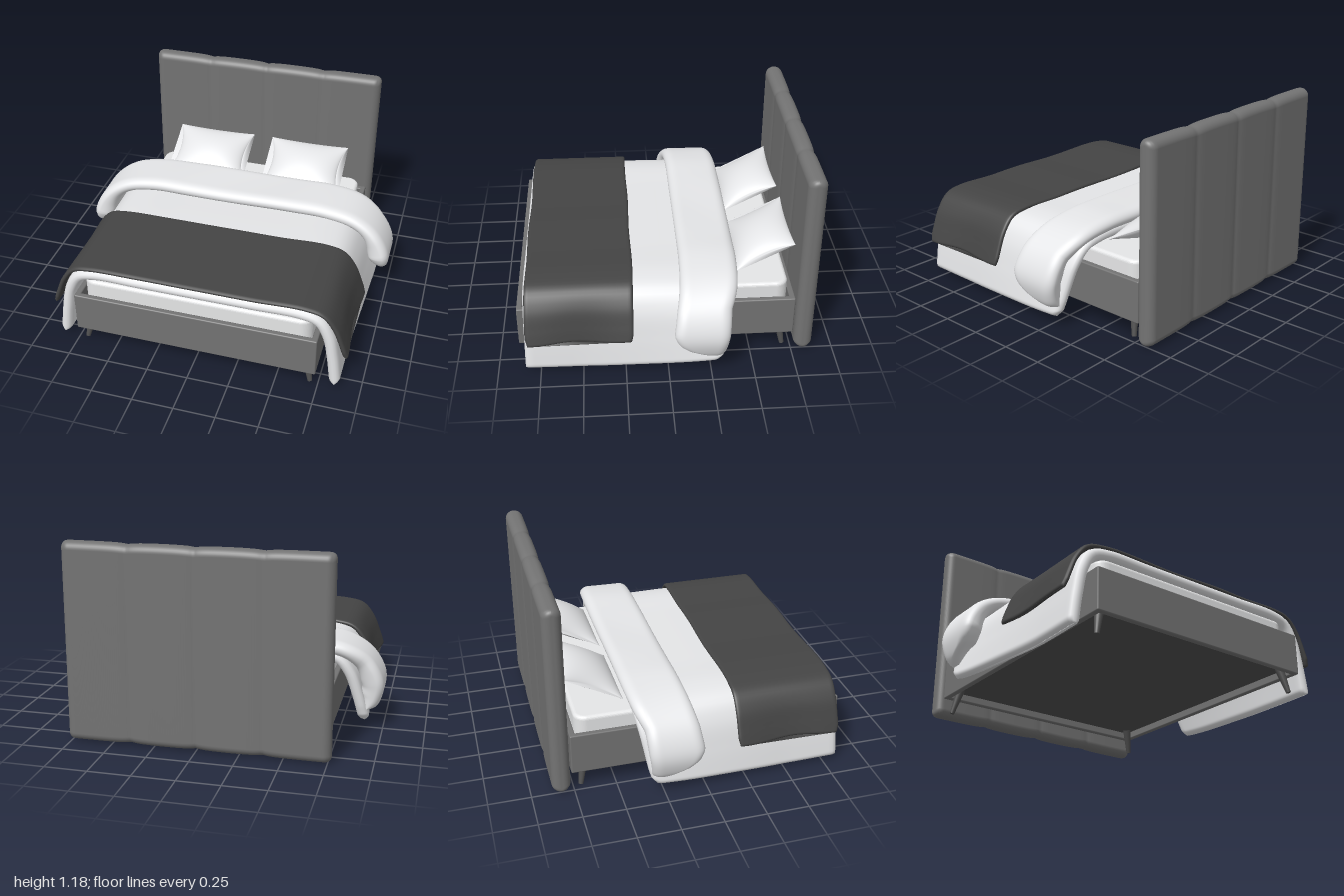
import * as THREE from 'three';
import { RoundedBoxGeometry } from 'three/addons/geometries/RoundedBoxGeometry.js';

const clamp = THREE.MathUtils.clamp;
const mat = (name, color, side = THREE.FrontSide) => {
  const m = new THREE.MeshStandardMaterial({ color, side });
  m.name = name;
  return m;
};

// Skin a row of closed rings, with a cap on each end
function loft(rings) {
  const n = rings[0].length, last = rings.length - 1, idx = [];
  for (let i = 0; i < last; i++) {
    for (let j = 0; j < n; j++) {
      const k = (j + 1) % n, a = i * n + j, b = i * n + k, c = b + n, d = a + n;
      idx.push(a, b, c, a, c, d);
    }
  }
  for (let j = 1; j < n - 1; j++) {
    idx.push(0, j + 1, j, last * n, last * n + j, last * n + j + 1);
  }
  const g = new THREE.BufferGeometry();
  g.setAttribute('position', new THREE.Float32BufferAttribute(rings.flat(2), 3));
  g.setIndex(idx);
  g.computeVertexNormals();
  return g;
}

// Piecewise linear lookup; table rows are [key, value] with falling keys
function lookup(table, key) {
  if (key >= table[0][0]) return table[0][1];
  for (let i = 1; i < table.length; i++) {
    const [k0, v0] = table[i - 1], [k1, v1] = table[i];
    if (key >= k1) return v0 + (v1 - v0) * (k0 - key) / (k0 - k1);
  }
  return table[table.length - 1][1];
}

const ease = t => 0.5 - 0.5 * Math.cos(Math.PI * t);
const rounded = (d, r) => d >= r ? 1 : Math.sqrt(Math.max(0, 1 - (1 - d / r) ** 2));

// Soft cloth hung over the bed: a half path in x-y is mirrored, thickened and
// spread between a front and a rear edge that depend on height
function drape({ half, front, rear, outer, inner = () => outer, edge, warp }) {
  const pts = [...half.slice(1).reverse().map(([x, y]) => [-x, y]), ...half]
    .map(([x, y]) => new THREE.Vector3(x, y, 0));
  const curve = new THREE.CatmullRomCurve3(pts, false, 'centripetal');
  const len = curve.getLength(), nu = 110, nv = 28, rings = [];
  for (let i = 0; i <= nu; i++) {
    const u = ease(i / nu), p = curve.getPointAt(u), t = curve.getTangentAt(u);
    const z0 = lookup(rear, p.y), z1 = lookup(front, p.y);
    const endRound = rounded(Math.min(u, 1 - u) * len, edge), ring = [];
    for (let k = 0; k < 2 * nv; k++) {
      const v = ease(k <= nv ? k / nv : (2 * nv - k) / nv);
      const h = endRound * rounded(Math.min(v, 1 - v) * (z1 - z0), edge);
      const off = k <= nv ? h * outer : -h * inner(p.y);
      ring.push(warp([p.x - t.y * off, p.y + t.x * off, z0 + (z1 - z0) * v]));
    }
    rings.push(ring);
  }
  return loft(rings);
}

// Upholstered headboard with vertical channels
function headboardGeometry() {
  const W = 0.77, H = 0.5875, D = 0.055, panel = W / 2, nx = 160, rings = [];
  for (let i = 0; i <= nx; i++) {
    const x = -W * Math.cos(Math.PI * i / nx), d = W - Math.abs(x);
    const seam = Math.min(...[-panel, 0, panel].map(s => Math.abs(x - s)));
    const hy = H - 0.03 * (1 - rounded(d, 0.03)) - 0.008 * Math.exp(-seam / 0.05);
    const hz = D - 0.048 * (1 - rounded(d, 0.048)) - 0.007 * Math.exp(-seam / 0.025);
    const c = Math.min(0.046, hz), ring = [];
    [[1, 1], [-1, 1], [-1, -1], [1, -1]].forEach(([sy, sz], q) => {
      for (let k = 0; k <= 8; k++) {
        const a = (q + k / 8) * Math.PI / 2;
        ring.push([x, sy * (hy - c) + c * Math.cos(a), sz * (hz - c) + c * Math.sin(a)]);
      }
    });
    rings.push(ring);
  }
  return loft(rings);
}

// Plump cushion with pinched edges and pointed corners
function pillowGeometry() {
  const n = 28, rings = [];
  for (let i = 0; i <= n; i++) {
    const a = 2 * ease(i / n) - 1, ring = [];
    for (let k = 0; k < 2 * n; k++) {
      const b = 2 * ease(k <= n ? k / n : (2 * n - k) / n) - 1;
      const y = 0.075 * Math.max(0, (1 - a * a) * (1 - b * b)) ** 0.6;
      ring.push([
        a * 0.266 * (1 - 0.15 * (1 - b * b)),
        k <= n ? y : -y,
        b * 0.195 * (1 - 0.06 * (1 - a * a)),
      ]);
    }
    rings.push(ring);
  }
  return loft(rings);
}

// Slab with rounded corners in plan and a small soft edge; its base is at y = 0
function mattressGeometry(w, h, d, r, bevel) {
  const x = w / 2 - bevel, y = d / 2 - bevel, s = new THREE.Shape();
  [[x - r, y - r], [r - x, y - r], [r - x, r - y], [x - r, r - y]].forEach(([cx, cy], q) =>
    s.absarc(cx, cy, r, q * Math.PI / 2, (q + 1) * Math.PI / 2));
  return new THREE.ExtrudeGeometry(s, {
    depth: h - 2 * bevel, bevelSize: bevel, bevelThickness: bevel, bevelSegments: 5, curveSegments: 8,
  }).translate(0, 0, bevel).rotateX(-Math.PI / 2);
}

export function createModel() {
  const bed = new THREE.Group();
  bed.name = 'bed';
  const upholstery = mat('grey upholstery', 0x737373);
  const dark = mat('dark base', 0x505050);
  const throwCloth = mat('charcoal throw', 0x444444, THREE.DoubleSide);
  const linen = mat('white linen', 0xf0f1f3, THREE.DoubleSide);
  const sheet = mat('mattress white', 0xf6f7f8);

  const add = (name, geometry, material, x = 0, y = 0, z = 0) => {
    const m = new THREE.Mesh(geometry, material);
    m.name = name;
    m.position.set(x, y, z);
    bed.add(m);
    return m;
  };

  add('headboard', headboardGeometry(), upholstery, 0, 0.5925, -0.823);

  // Frame rails and recessed underside
  const box = (w, h, d) => new RoundedBoxGeometry(w, h, d, 3, 0.008);
  for (const s of [-1, 1]) {
    add('sideRail', box(0.035, 0.253, 1.63), upholstery, s * 0.7205, 0.2365, 0.06);
    add(s > 0 ? 'footRail' : 'headRail', box(1.476, 0.253, 0.035), upholstery, 0, 0.2365, 0.06 + s * 0.8025);
  }
  add('basePanel', new THREE.BoxGeometry(1.42, 0.02, 1.58), dark, 0, 0.165, 0.06);

  // Splayed tapered legs
  for (const sx of [-1, 1]) {
    for (const sz of [-1, 1]) {
      const leg = add('leg', new THREE.CylinderGeometry(0.027, 0.014, 0.16, 20), dark,
        sx * 0.683, 0.081, sz > 0 ? 0.807 : -0.689);
      leg.rotation.set(-sz * 0.18, 0, sx * 0.22);
    }
  }

  add('mattress', mattressGeometry(1.39, 0.275, 1.55, 0.05, 0.022), sheet, 0, 0.175, 0.055);

  // Duvet, its hem rising and swelling towards the head
  add('duvet', drape({
    half: [[0, 0.485], [0.35, 0.485], [0.62, 0.485], [0.727, 0.455], [0.785, 0.36], [0.82, 0.2], [0.845, 0.02]],
    front: [[0.5, 0.835], [0.02, 0.84]],
    rear: [[0.5, -0.4], [0.3, -0.367], [0.12, -0.34], [0.06, -0.325], [0.02, -0.29]],
    outer: 0.034, edge: 0.035,
    warp: ([x, y, z]) => {
      const v = clamp((0.5 - z) / 0.85, 0, 1), drop = Math.max(0, 0.48 - y);
      return [x + Math.sign(x) * 0.11 * v * drop, y + drop * 0.11 * v * v + 0.002 * Math.sin(9 * z), z];
    },
  }), linen);

  // Turned-back top of the duvet, thicker where it hangs
  add('duvetFold', drape({
    half: [[0, 0.548], [0.35, 0.548], [0.58, 0.545], [0.77, 0.51], [0.89, 0.43], [0.956, 0.3], [0.943, 0.21], [0.905, 0.14]],
    front: [[0.55, -0.08], [0.42, -0.045], [0.3, -0.028], [0.25, -0.05], [0.215, -0.09], [0.18, -0.18], [0.14, -0.26]],
    rear: [[0.55, -0.42], [0.5, -0.4], [0.43, -0.36], [0.3, -0.35], [0.14, -0.325]],
    outer: 0.044, edge: 0.06,
    inner: y => 0.045 + 0.04 * clamp((0.5 - y) / 0.15, 0, 1) * clamp((y - 0.14) / 0.08, 0, 1),
    warp: ([x, y, z]) => [x, y + 0.003 * Math.sin(7 * x + 8 * z), z + 0.02 * x * x * Math.max(0, y - 0.4)],
  }), linen);

  // Throw blanket across the foot, with slightly wavy edges
  add('throwBlanket', drape({
    half: [[0, 0.525], [0.35, 0.525], [0.65, 0.525], [0.755, 0.5], [0.82, 0.42], [0.862, 0.31], [0.888, 0.225]],
    front: [[0.5, 0.822], [0.27, 0.825], [0.22, 0.81]],
    rear: [[0.5, 0.198], [0.27, 0.2], [0.22, 0.212]],
    outer: 0.014, edge: 0.016,
    warp: ([x, y, z]) => {
      const drop = Math.max(0, 0.52 - y);
      return [
        x + Math.sign(x) * 0.04 * drop * Math.cos(10.5 * (z - 0.2)),
        y + 0.002 * Math.sin(11 * x) + 0.02 * drop * Math.sin(14 * z),
        z + 0.003 * Math.sin(9 * x),
      ];
    },
  }), throwCloth);

  // Pillows leaning back towards the headboard
  for (const s of [-1, 1]) {
    const pillow = add('pillow', pillowGeometry(), linen, s * 0.33, 0.562, -0.588);
    pillow.rotation.x = 0.48;
  }
  return bed;
}
